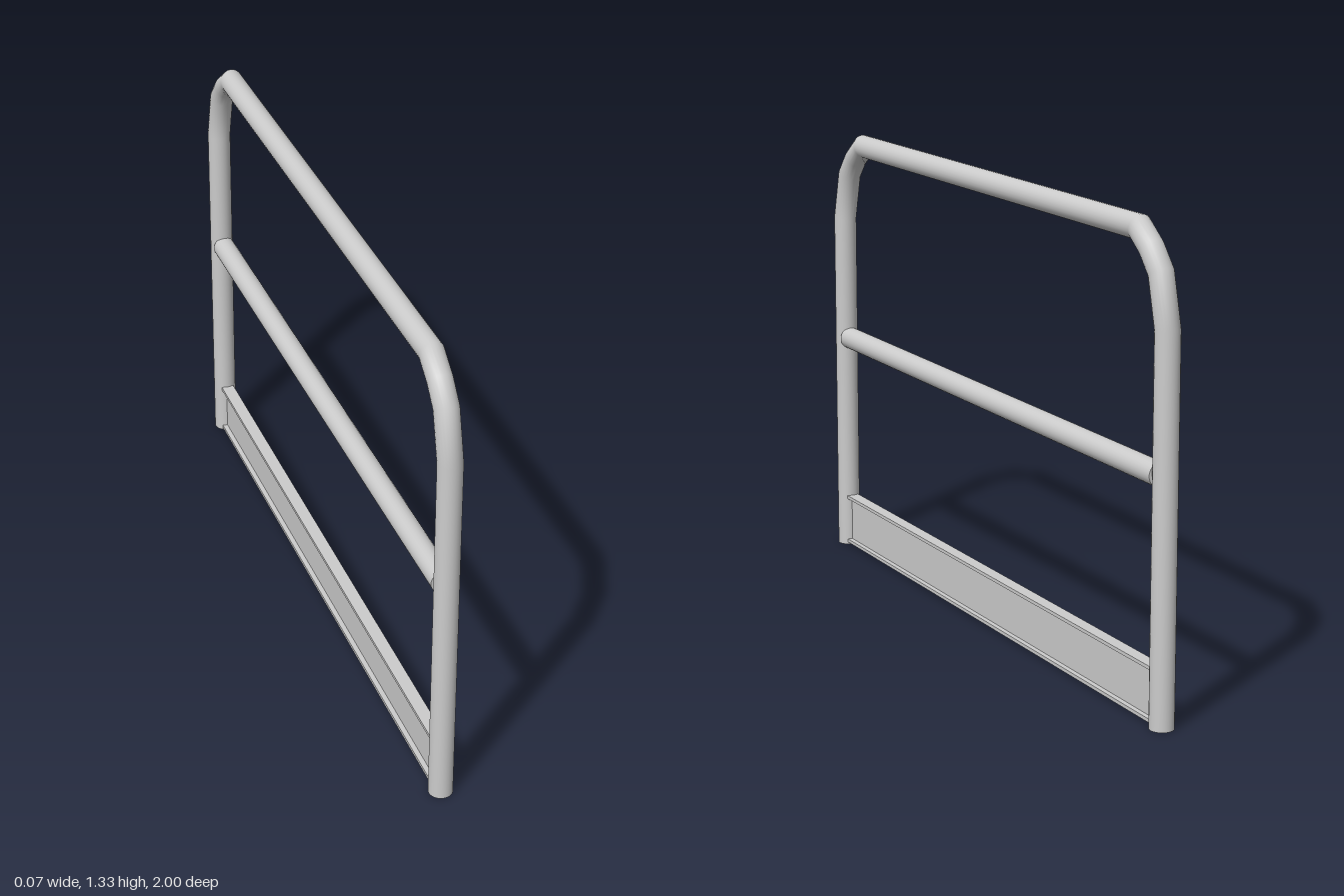
import * as THREE from 'three';

const R = 0.034; // tube radius
const SIDES = 24;

// Sweeps a round tube along points [z, y] in the plane x = 0, mitred at each bend
function sweepTube(path, radius) {
  const pts = path.map(([z, y]) => new THREE.Vector2(z, y));
  const pos = [], index = [];
  pts.forEach((p, i) => {
    const before = p.clone().sub(pts[Math.max(i - 1, 0)]).normalize();
    const after = pts[Math.min(i + 1, pts.length - 1)].clone().sub(p).normalize();
    const t = before.clone().add(after).normalize();
    const mitre = 1 / Math.max(t.dot(before), t.dot(after));
    for (let j = 0; j < SIDES; j++) {
      const a = (j / SIDES) * Math.PI * 2;
      const n = Math.cos(a) * radius * mitre;
      pos.push(Math.sin(a) * radius, p.y - t.x * n, p.x + t.y * n);
      if (i === pts.length - 1) continue;
      const k = (j + 1) % SIDES;
      const A = i * SIDES + j, B = i * SIDES + k;
      index.push(A, B, A + SIDES, B, B + SIDES, A + SIDES);
    }
  });
  const geo = new THREE.BufferGeometry();
  geo.setAttribute('position', new THREE.Float32BufferAttribute(pos, 3));
  geo.setIndex(index);
  geo.computeVertexNormals();
  return geo;
}

export function createModel() {
  const group = new THREE.Group();
  const material = new THREE.MeshStandardMaterial({ color: 0xcccccc });
  const add = (name, geo) => {
    const mesh = new THREE.Mesh(geo, material);
    mesh.name = name;
    group.add(mesh);
    return mesh;
  };

  // Bent hoop: post, faceted corner, top bar, mirrored corner and post
  const half = [[0.966, 0], [0.966, 1.055], [0.93, 1.195], [0.882, 1.25], [0.822, 1.294]];
  const mirrored = half.map(([z, y]) => [-z, y]).reverse();
  add('hoopFrame', sweepTube([...half, ...mirrored], R));

  // Closed feet of the posts
  for (const s of [1, -1]) {
    const cap = add('postFoot', new THREE.CircleGeometry(R, SIDES));
    cap.rotation.x = Math.PI / 2;
    cap.position.z = s * 0.966;
  }

  // Middle rail
  const rail = add('middleRail', new THREE.CylinderGeometry(R * 0.97, R * 0.97, 1.88, SIDES));
  rail.rotation.x = Math.PI / 2;
  rail.position.y = 0.674;

  // Toe board: thin web with a narrow flange along top and bottom
  const web = 0.004, flange = 0.019, y0 = 0.008, y1 = 0.162, t = 0.01;
  const right = [[flange, y0], [flange, y0 + t], [web, y0 + t], [web, y1 - t], [flange, y1 - t], [flange, y1]];
  const left = right.map(([x, y]) => [-x, y]).reverse();
  const section = new THREE.Shape([...right, ...left].map(([x, y]) => new THREE.Vector2(x, y)));
  const board = new THREE.ExtrudeGeometry(section, { depth: 1.87, bevelEnabled: false });
  board.translate(0, 0, -0.935);
  add('toeBoard', board);

  return group;
}
